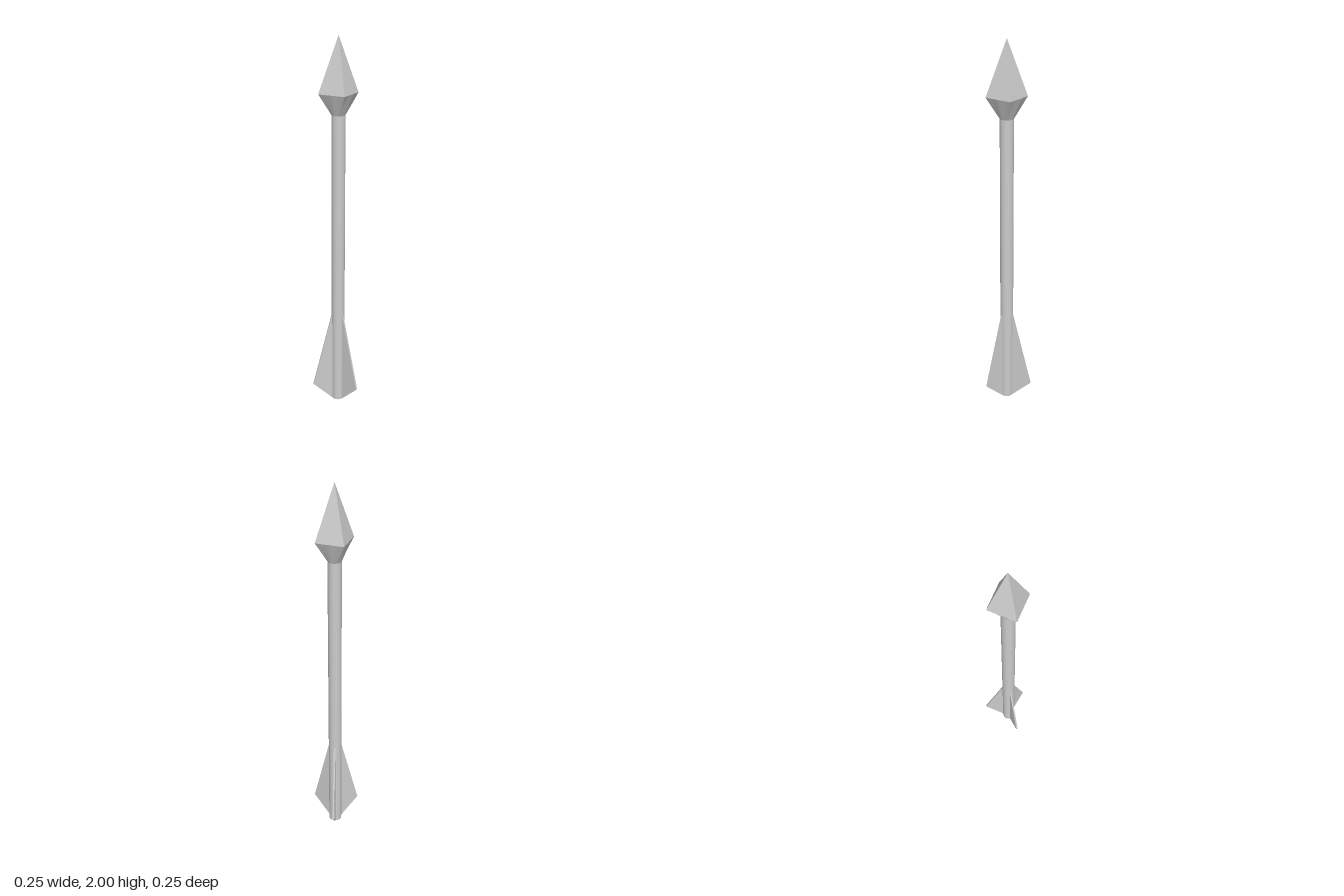
import * as THREE from 'three';
import { toCreasedNormals } from 'three/addons/utils/BufferGeometryUtils.js';

const SHAFT_R = 0.035, HEAD_R = 0.103;
const NECK_Y = 1.615, HEAD_Y = 1.722, TIP_Y = 2;
const FIN_T = 0.009;

export function createModel() {
  const group = new THREE.Group();
  const smooth = new THREE.MeshStandardMaterial({ color: 0xcccccc });
  const flat = new THREE.MeshStandardMaterial({ color: 0xcccccc, flatShading: true });

  const add = (name, geometry, material, y = 0) => {
    const mesh = new THREE.Mesh(geometry, material);
    mesh.name = name;
    mesh.position.y = y;
    group.add(mesh);
    return mesh;
  };

  // Round shaft
  add('shaft', new THREE.CylinderGeometry(SHAFT_R, SHAFT_R, NECK_Y, 24), smooth, NECK_Y / 2);

  // Four-sided point
  const tipH = TIP_Y - HEAD_Y;
  add('headTip', new THREE.ConeGeometry(HEAD_R, tipH, 4), flat, HEAD_Y + tipH / 2);

  // Neck: round at the shaft, square where it meets the point
  const neckH = HEAD_Y - NECK_Y;
  const neck = new THREE.CylinderGeometry(HEAD_R, SHAFT_R, neckH, 24, 1, true);
  const p = neck.attributes.position;
  for (let i = 0; i < p.count; i++) {
    if (p.getY(i) < 0) continue;
    const x = p.getX(i), z = p.getZ(i);
    const k = HEAD_R / (Math.abs(x) + Math.abs(z));
    p.setXYZ(i, x * k, p.getY(i), z * k);
  }
  add('headNeck', toCreasedNormals(neck, 0.5), smooth, NECK_Y + neckH / 2);

  // Three thin fins around the tail
  const finShape = new THREE.Shape([
    new THREE.Vector2(0.02, 0),
    new THREE.Vector2(SHAFT_R, 0),
    new THREE.Vector2(0.142, 0.105),
    new THREE.Vector2(SHAFT_R, 0.525),
    new THREE.Vector2(0.02, 0.525),
  ]);
  const finGeo = new THREE.ExtrudeGeometry(finShape, { depth: FIN_T, bevelEnabled: false });
  finGeo.translate(0, 0, -FIN_T / 2);
  for (let i = 0; i < 3; i++) {
    add('fin' + (i + 1), finGeo, flat).rotation.y = Math.PI + (i * Math.PI * 2) / 3;
  }

  // The uneven fin spread sets the shaft slightly off centre
  group.position.x = 0.018;
  const root = new THREE.Group();
  root.name = 'arrow';
  root.add(group);
  return root;
}
